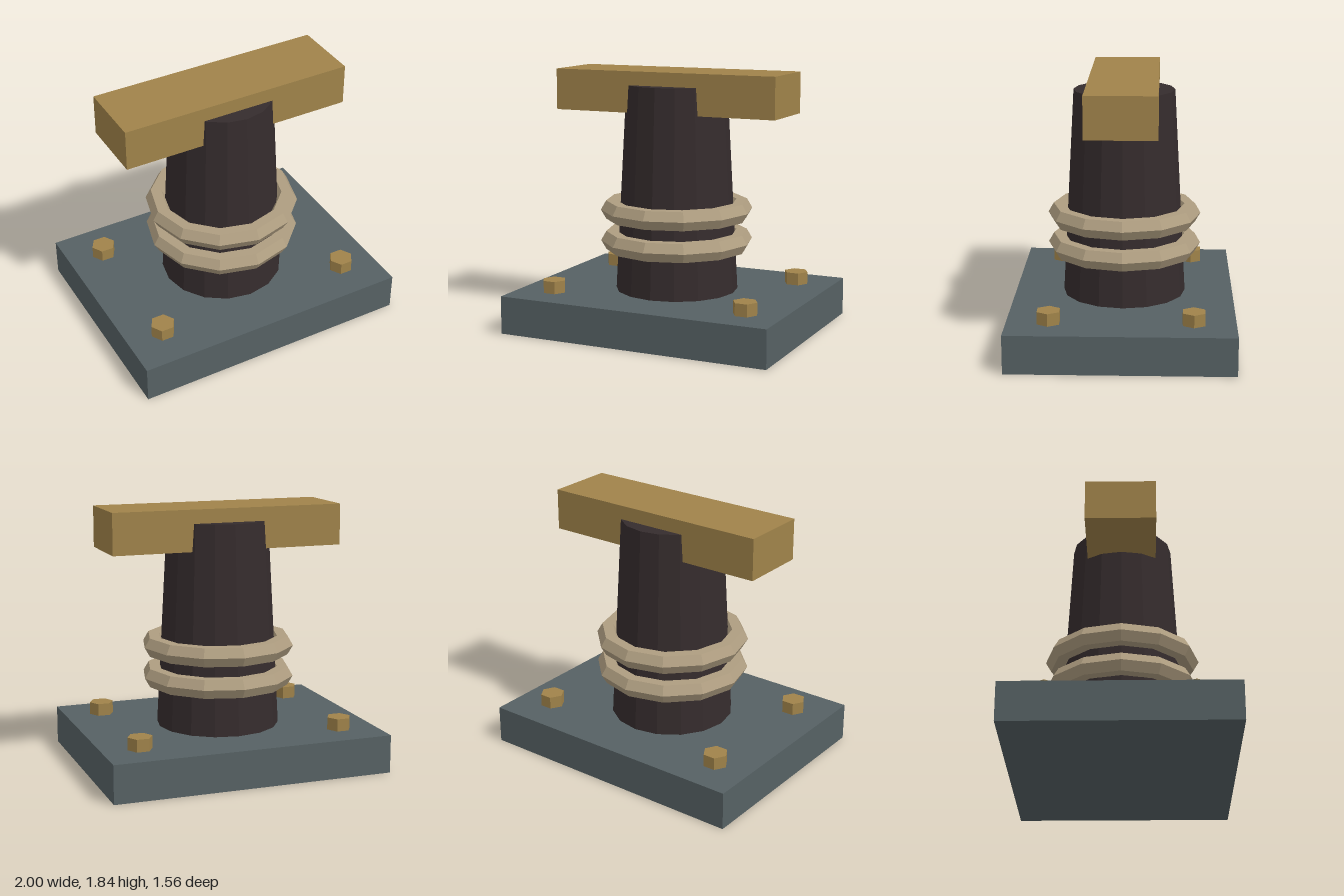
import * as THREE from 'three';

const material = (name, color, flatShading = true) => {
  const m = new THREE.MeshStandardMaterial({ color, flatShading });
  m.name = name;
  return m;
};

export function createModel() {
  const model = new THREE.Group();
  model.name = 'bollard';
  const slate = material('slate', 0x566164);
  const darkIron = material('darkIron', 0x352c2d);
  const rope = material('rope', 0xae9d80);
  const brass = material('brass', 0xa0834a);

  const add = (name, geometry, mat, x, y, z) => {
    const mesh = new THREE.Mesh(geometry, mat);
    mesh.name = name;
    mesh.position.set(x, y, z);
    model.add(mesh);
    return mesh;
  };

  // Base plate
  add('basePlate', new THREE.BoxGeometry(2, 0.27, 1.556), slate, 0, 0.135, 0);

  // Tapered post standing on the plate
  const bottom = 0.26, top = 1.737;
  add('post', new THREE.CylinderGeometry(0.356, 0.437, top - bottom, 16), darkIron, 0, (top + bottom) / 2, 0);

  // Crossbar through the top of the post
  add('crossbar', new THREE.BoxGeometry(1.664, 0.29, 0.486), brass, 0, 1.69, 0);

  // Two rope coils with hexagonal section
  const coil = new THREE.TorusGeometry(0.467, 0.076, 6, 12).rotateX(Math.PI / 2);
  [0.626, 0.847].forEach((y) => add('ropeCoil', coil, rope, 0, y, 0));

  // Hexagonal bolt heads at the corners
  const bolt = new THREE.CylinderGeometry(0.087, 0.087, 0.1, 6).rotateY(Math.PI / 6);
  for (const x of [-0.733, 0.733]) {
    for (const z of [-0.49, 0.49]) add('bolt', bolt, brass, x, 0.308, z);
  }
  return model;
}
